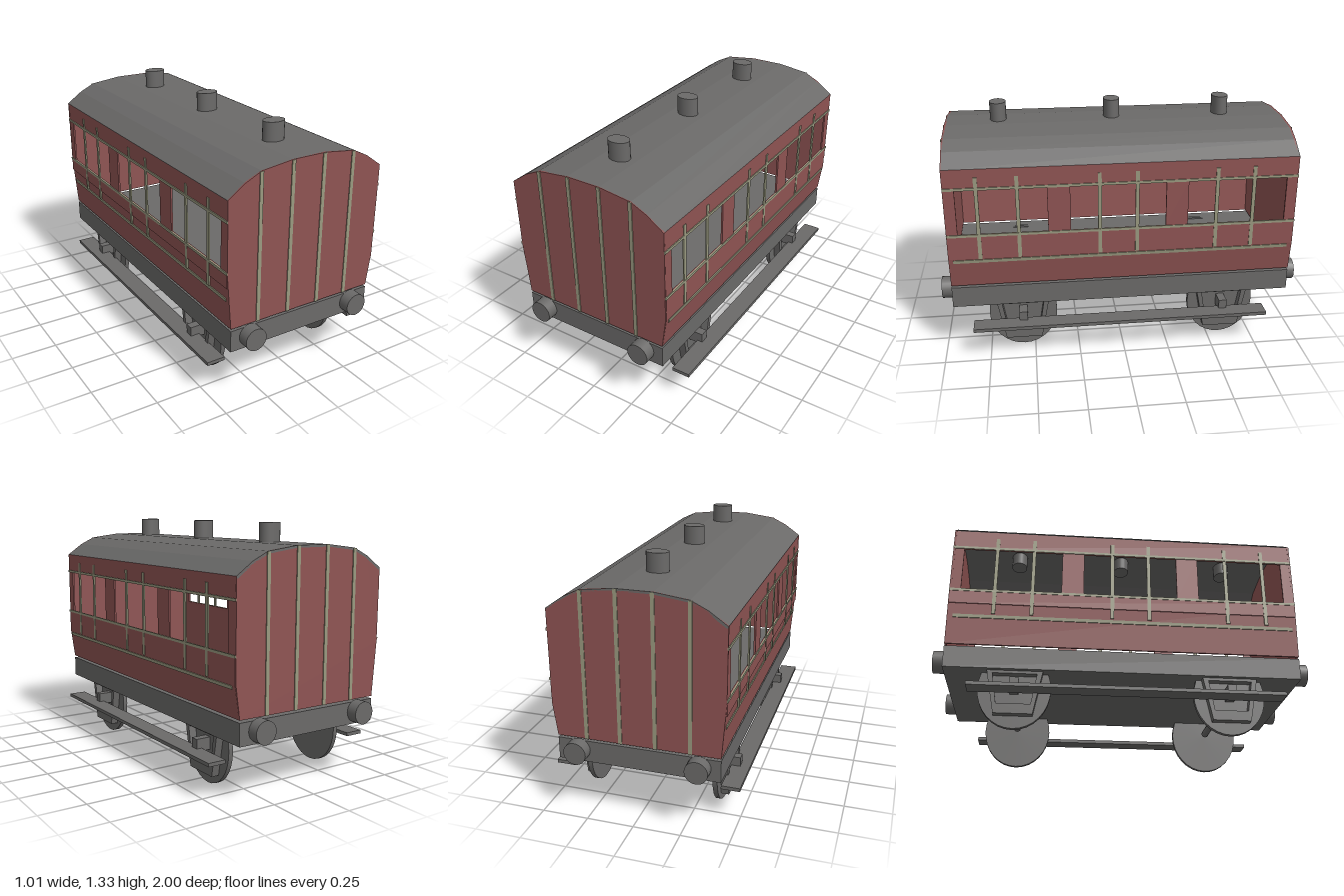
import * as THREE from 'three';

const mat = (name, color) => {
  const m = new THREE.MeshStandardMaterial({ color });
  m.name = name;
  return m;
};

export function createModel() {
  const red = mat('maroon', 0x8f5453);
  const grey = mat('grey', 0x6b6a69);
  const pale = mat('pale lining', 0x9a9a80);
  const coach = new THREE.Group();
  coach.name = 'railwayCoach';
  const CX = -0.012; // centre line of the coach

  const add = (name, geometry, material, x = 0, y = 0, z = 0) => {
    const mesh = new THREE.Mesh(geometry, material);
    mesh.name = name;
    mesh.position.set(x, y, z);
    coach.add(mesh);
    return mesh;
  };
  // Box given by its limits on each axis
  const box = (name, material, x0, x1, y0, y1, z0, z1) =>
    add(name, new THREE.BoxGeometry(x1 - x0, y1 - y0, z1 - z0), material,
      (x0 + x1) / 2, (y0 + y1) / 2, (z0 + z1) / 2);
  const outline = (pts) => new THREE.Shape(pts.map(([x, y]) => new THREE.Vector2(x, y)));
  // Cross-section in x and y, swept from z0 to z1
  const sweep = (name, material, pts, z0, z1) =>
    add(name, new THREE.ExtrudeGeometry(outline(pts), { depth: z1 - z0, bevelEnabled: false }),
      material, 0, 0, z0);

  // Roof: a thin curved sheet
  const arc = [[-0.465, 1.105], [-0.372, 1.17], [-0.285, 1.212], [-0.108, 1.234],
    [0.084, 1.234], [0.261, 1.212], [0.348, 1.17], [0.44, 1.105]];
  const under = arc.map(([x, y]) => [CX + (x - CX) * 0.985, y - 0.012]).reverse();
  sweep('roof', grey, [...arc, ...under], -0.94, 0.935);

  // End walls with vertical lining
  const roofY = (x) => {
    const i = Math.max(1, arc.findIndex((p) => p[0] >= x));
    const [a, b] = [arc[i - 1], arc[i]];
    return a[1] + (b[1] - a[1]) * (x - a[0]) / (b[0] - a[0]);
  };
  const endWall = [[-0.44, 0.43], [-0.463, 0.72], ...arc, [0.438, 0.6], [0.415, 0.43]];
  for (const s of [-1, 1]) {
    const span = (a, b) => (s > 0 ? [a, b] : [-b, -a]);
    sweep('endWall', red, endWall, ...span(0.93, 0.94));
    for (const x of [-0.285, -0.105, 0.078, 0.257]) {
      box('endLining', pale, x - 0.01, x + 0.01, 0.43, roofY(x) - 0.002, ...span(0.938, 0.944));
    }
  }

  // Side walls, window posts and lining
  const bars = [0.77, 0.56, 0.13, -0.07, -0.5, -0.7];
  const posts = [[0.88, 0.935], [0.285, 0.405], [-0.345, -0.225], [-0.935, -0.88]];
  for (const s of [-1, 1]) {
    const face = s > 0 ? 0.44 : -0.463;  // outer plane of the wall
    const foot = s > 0 ? 0.415 : -0.44;
    const bend = s > 0 ? 0.6 : 0.72;
    const t = s * 0.01;
    const side = (name, material, inner, outer, y0, y1, z0, z1) => {
      const xs = [face + s * inner, face + s * outer].sort((a, b) => a - b);
      return box(name, material, ...xs, y0, y1, z0, z1);
    };
    sweep('lowerSidePanel', red, [[face, 0.74], [face, bend], [foot, 0.43],
      [foot - t, 0.43], [face - t, bend], [face - t, 0.74]], -0.935, 0.935);
    side('upperSidePanel', red, -0.01, 0, 0.99, 1.105, -0.935, 0.935);
    side('waistMoulding', red, -0.004, 0.002, 0.657, 0.735, -0.935, 0.935);
    for (const [a, b] of posts) side('windowPost', red, -0.01, 0, 0.74, 0.99, a, b);
    for (const z of bars) side('verticalLining', pale, -0.004, 0.004, 0.6, 1.06, z - 0.01, z + 0.01);
    for (const y of [0.735, 0.997]) side('windowLining', pale, -0.003, 0.005, y - 0.007, y + 0.007, -0.94, 0.94);
    // Lining on the tumblehome follows its slope
    const at = (y) => (y >= bend ? face : foot + (face - foot) * (y - 0.43) / (bend - 0.43));
    sweep('lowerLining', pale, [[at(0.576), 0.576], [at(0.594), 0.594],
      [at(0.594) + s * 0.005, 0.594], [at(0.576) + s * 0.005, 0.576]], -0.91, 0.915);
  }

  // Underframe
  box('underframe', grey, -0.44, 0.415, 0.3, 0.417, -0.94, 0.94);

  // Oval roof vents, reaching a little into the cabin
  for (const z of [0.65, 0.02, -0.6]) {
    add('roofVent', new THREE.CylinderGeometry(0.06, 0.06, 0.185, 24), grey, -0.013, 1.2425, z)
      .scale.z = 0.75;
  }

  // Buffers
  for (const s of [-1, 1]) for (const x of [-0.33, 0.303]) {
    const g = new THREE.CylinderGeometry(0.06, 0.06, 0.062, 24).rotateX(Math.PI / 2);
    add('buffer', g, grey, x, 0.367, s * 0.969);
  }

  // Running gear
  const guard = outline([[-0.145, 0.3], [0.145, 0.3], [0.1, 0.067], [-0.1, 0.067]]);
  guard.holes.push(outline([[-0.115, 0.285], [-0.088, 0.12], [0.088, 0.12], [0.115, 0.285]]));
  for (const z of [0.56, -0.57]) {
    const axle = new THREE.CylinderGeometry(0.02, 0.02, 0.565, 12).rotateZ(Math.PI / 2);
    add('axle', axle, grey, -0.008, 0.217, z);
    for (const s of [-1, 1]) {
      const wheel = new THREE.CylinderGeometry(0.213, 0.213, 0.025, 32).rotateZ(Math.PI / 2);
      add('wheel', wheel, grey, CX + s * 0.348, 0.214, z).scale.z = 0.89;
      const iron = new THREE.ExtrudeGeometry(guard, { depth: 0.042, bevelEnabled: false })
        .translate(0, 0, -0.021).rotateY(Math.PI / 2);
      add('axleGuard', iron, grey, CX + s * 0.382, 0, z);
      add('axleBox', new THREE.BoxGeometry(0.1, 0.066, 0.045), grey, CX + s * 0.392, 0.217, z);
    }
  }

  // Footboards
  for (const s of [-1, 1]) {
    add('footboard', new THREE.BoxGeometry(0.1, 0.019, 1.64), grey, -0.002 + s * 0.453, 0.19, 0.013);
  }
  return coach;
}
